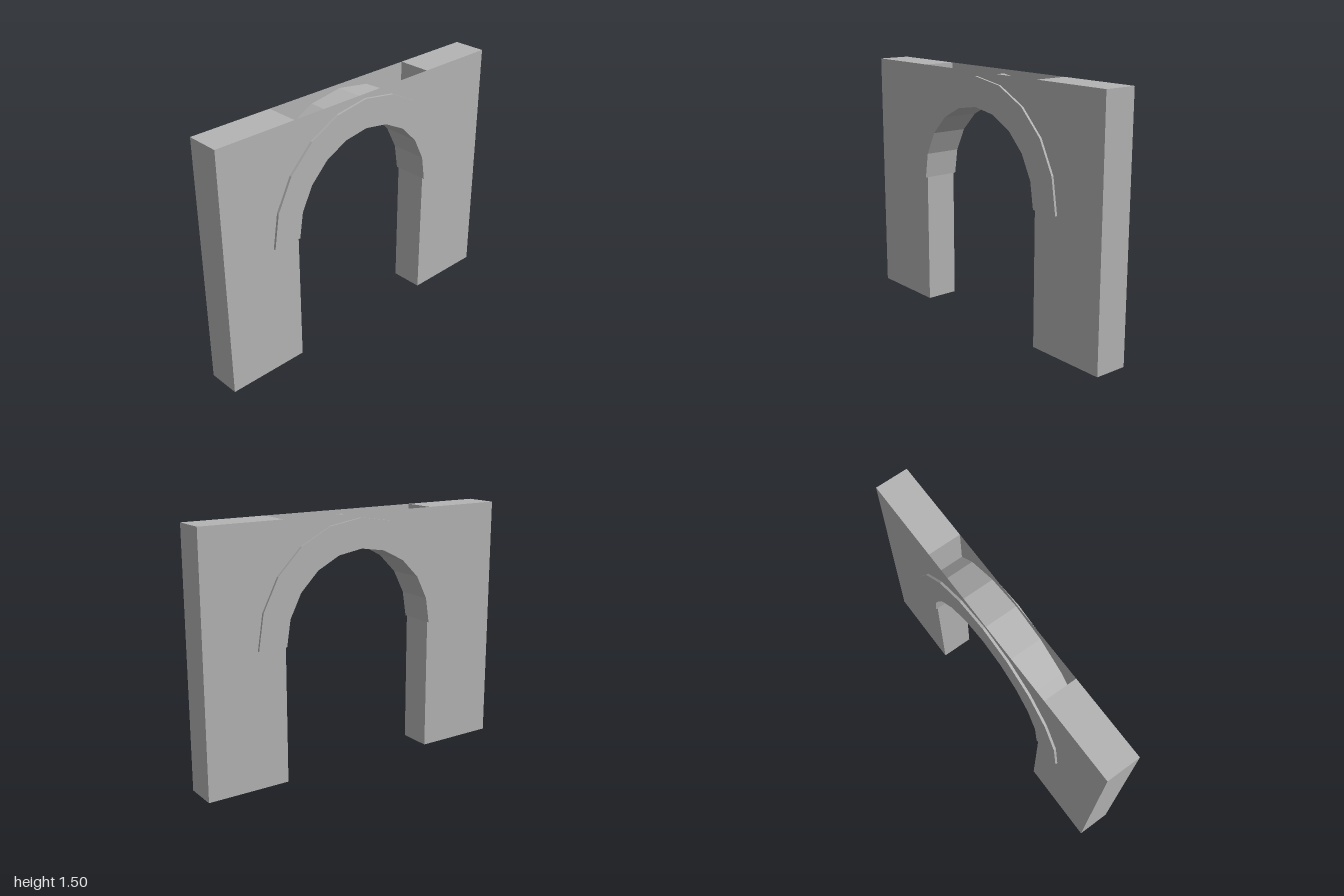
import * as THREE from 'three';

const HALF_WIDTH = 1, HEIGHT = 1.5, HALF_DEPTH = 0.1;
const SPRING_Y = 0.8, INNER_R = 0.5, OUTER_R = 0.675, RING_HALF_DEPTH = 0.114;
const SEGMENTS = 10;

// Points along a faceted half circle, from the +x end to the -x end
function arc(radius) {
  return Array.from({ length: SEGMENTS + 1 }, (_, i) => {
    const a = (Math.PI * i) / SEGMENTS;
    return new THREE.Vector2(Math.cos(a) * radius, SPRING_Y + Math.sin(a) * radius);
  });
}

export function createModel() {
  const model = new THREE.Group();
  model.name = 'archway';
  const stone = new THREE.MeshStandardMaterial({
    name: 'grey stone', color: 0xb4b4b4, flatShading: true, side: THREE.DoubleSide,
  });

  function add(name, geometry, x = 0, y = 0, z = 0) {
    const mesh = new THREE.Mesh(geometry, stone);
    mesh.name = name;
    mesh.position.set(x, y, z);
    model.add(mesh);
    return mesh;
  }

  // Full-height pillars on both sides
  const pillarWidth = HALF_WIDTH - INNER_R;
  const pillar = new THREE.BoxGeometry(pillarWidth, HEIGHT, HALF_DEPTH * 2);
  const pillarX = INNER_R + pillarWidth / 2;
  add('leftPillar', pillar, pillarX, HEIGHT / 2);
  add('rightPillar', pillar, -pillarX, HEIGHT / 2);

  // Thin front and back panels over the opening; the space between is open on top
  const panel = new THREE.ShapeGeometry(new THREE.Shape([
    ...arc(INNER_R),
    new THREE.Vector2(-INNER_R, HEIGHT),
    new THREE.Vector2(INNER_R, HEIGHT),
  ]));
  add('frontPanel', panel, 0, 0, HALF_DEPTH);
  add('backPanel', panel, 0, 0, -HALF_DEPTH).rotation.y = Math.PI;

  // Faceted arch ring, slightly proud of the wall on both faces
  const ring = new THREE.ExtrudeGeometry(
    new THREE.Shape([...arc(OUTER_R), ...arc(INNER_R).reverse()]),
    { depth: RING_HALF_DEPTH * 2, bevelEnabled: false },
  );
  add('archRing', ring, 0, 0, -RING_HALF_DEPTH);

  return model;
}
